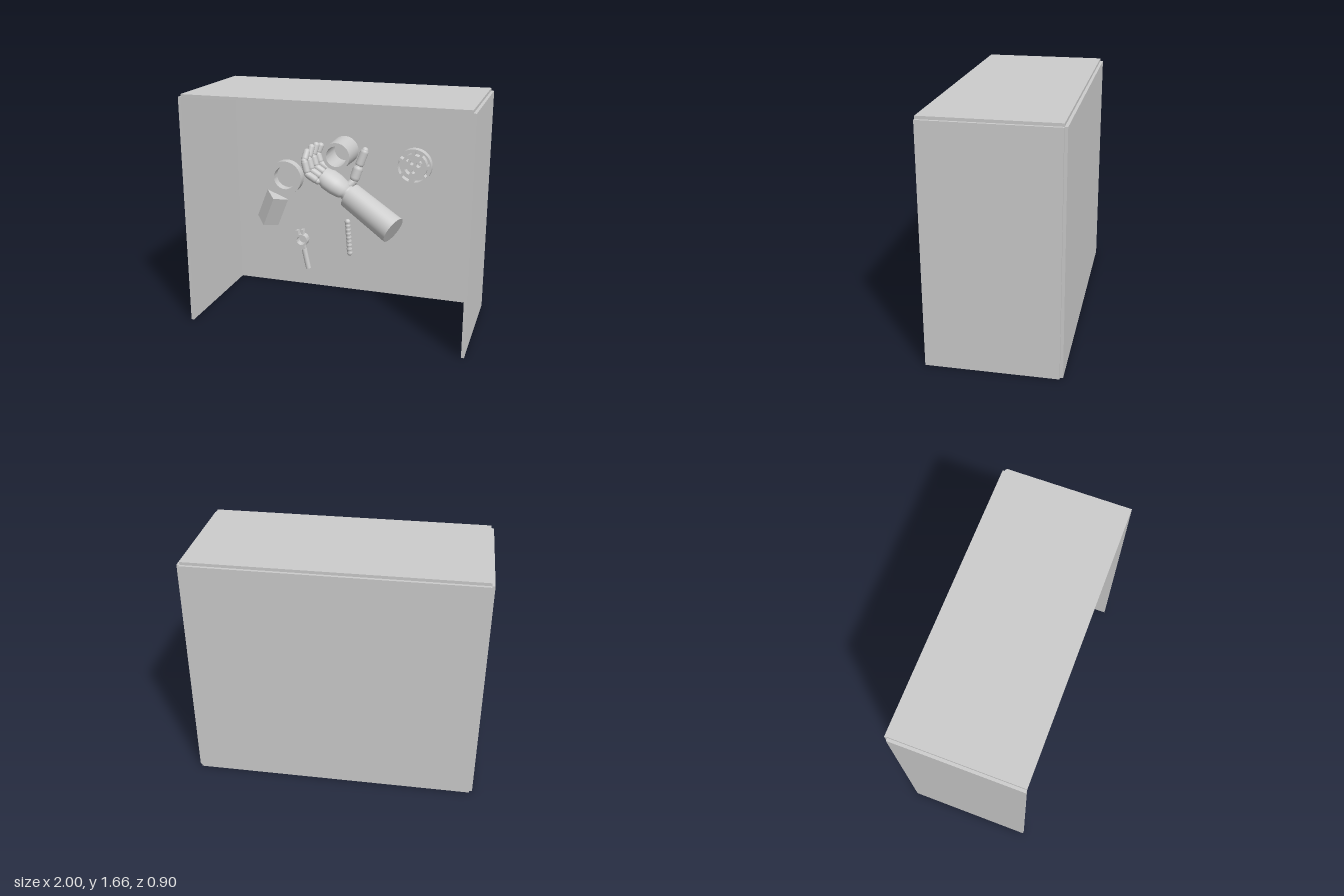
import * as THREE from 'three';
import { toCreasedNormals } from 'three/addons/utils/BufferGeometryUtils.js';

const V = (x, y, z) => new THREE.Vector3(x, y, z);
const UP = V(0, 1, 0);
const WALL = -0.43; // front surface of the back panel

export function createModel() {
  const model = new THREE.Group();
  const material = new THREE.MeshStandardMaterial({ color: 0xcccccc });

  const add = (name, geometry, parent = model) => {
    const mesh = new THREE.Mesh(geometry, material);
    mesh.name = name;
    parent.add(mesh);
    return mesh;
  };
  const group = (name) => {
    const g = new THREE.Group();
    g.name = name;
    model.add(g);
    return g;
  };
  // Box given by its two extreme corners
  const panel = (name, a, b) => {
    const s = b.clone().sub(a);
    add(name, new THREE.BoxGeometry(s.x, s.y, s.z)).position.copy(a).add(b).multiplyScalar(0.5);
  };
  // Place a y-aligned geometry between two points
  const span = (name, geometry, a, b, parent) => {
    const mesh = add(name, geometry, parent);
    mesh.position.copy(a).add(b).multiplyScalar(0.5);
    mesh.quaternion.setFromUnitVectors(UP, b.clone().sub(a).normalize());
    return mesh;
  };
  const rod = (name, a, b, ra, rb, parent) =>
    span(name, new THREE.CylinderGeometry(rb, ra, a.distanceTo(b), 40), a, b, parent);
  const capsule = (name, a, b, r, parent) =>
    span(name, new THREE.CapsuleGeometry(r, Math.max(a.distanceTo(b) - r, 0.005), 8, 20), a, b, parent);
  const ball = (name, p, r, parent) =>
    add(name, new THREE.SphereGeometry(r, 20, 14), parent).position.copy(p);
  const extrude = (shape, depth) => toCreasedNormals(
    new THREE.ExtrudeGeometry(shape, { depth, bevelEnabled: false, curveSegments: 32 }), 0.5);
  const circle = (r, x = 0, y = 0) => new THREE.Path().absarc(x, y, r, 0, Math.PI * 2, true);
  const disc = (r) => new THREE.Shape().absarc(0, 0, r, 0, Math.PI * 2, false);

  // Open cabinet
  panel('backPanel', V(-0.98, 0, -0.45), V(0.98, 1.64, WALL));
  panel('rightPanel', V(-1, 0, WALL), V(-0.98, 1.64, 0.45));
  panel('leftPanel', V(0.98, 0, WALL), V(1, 1.64, 0.45));
  panel('topPanel', V(-0.98, 1.64, WALL), V(0.98, 1.66, 0.45));

  // Wide ring on the wall
  const ring = disc(0.133);
  ring.holes.push(circle(0.09));
  add('wideRing', extrude(ring, 0.07)).position.set(-0.56, 0.894, WALL);

  // Deep tube, slightly wider at the wall
  const tubeProfile = [[0.08, 0], [0.108, 0], [0.103, 0.23], [0.077, 0.23], [0.08, 0]]
    .map(([r, y]) => new THREE.Vector2(r, y));
  const tube = add('deepTube', toCreasedNormals(new THREE.LatheGeometry(tubeProfile, 48), 0.6));
  tube.rotation.x = Math.PI / 2;
  tube.position.set(-0.093, 1.137, WALL);

  // Pierced disc: slots around the rim and a few inner openings
  const pierced = disc(0.132);
  const slot = (r0, r1, a0, a1) => {
    const path = new THREE.Path();
    path.absarc(0, 0, r1, a0, a1, false);
    path.absarc(0, 0, r0, a1, a0, true);
    path.closePath();
    pierced.holes.push(path);
  };
  [[0.098, 0.1, 0.9], [0.085, 1.1, 1.5], [0.095, 1.75, 2.6], [0.085, 2.8, 3.7],
    [0.1, 3.9, 4.4], [0.09, 4.75, 5.4], [0.1, 5.6, 6.1]]
    .forEach(([r0, a0, a1]) => slot(r0, 0.12, a0, a1));
  [[0.055, 0.3, 0.8], [0.06, 2.0, 2.5], [0.05, 3.5, 4.2]]
    .forEach(([r0, a0, a1]) => slot(r0, 0.072, a0, a1));
  pierced.holes.push(circle(0.019, 0.037, 0.014), circle(0.016, -0.012, 0.028), circle(0.014, 0.0, -0.04));
  add('piercedDisc', extrude(pierced, 0.06)).position.set(0.453, 1.06, WALL);

  // Wedge block: triangular section swept along its tilted length
  const section = new THREE.Shape();
  section.moveTo(-0.093, 0);
  section.lineTo(0.093, 0);
  section.lineTo(0.01, 0.12);
  const wedgeGeometry = extrude(section, 0.24);
  wedgeGeometry.translate(0, 0, -0.12).rotateX(Math.PI / 2).scale(1, 1, 1);
  const wedge = add('wedgeBlock', wedgeGeometry);
  wedge.position.set(-0.693, 0.623, WALL);
  wedge.rotation.z = -0.38;

  // Ring clamp with two jaws and a handle
  const clamp = group('ringClamp');
  const loop = disc(0.05);
  loop.holes.push(circle(0.036));
  add('clampRing', extrude(loop, 0.06), clamp).position.z = -0.03;
  for (const side of [-1, 1]) {
    add('clampJaw', new THREE.BoxGeometry(0.014, 0.045, 0.045), clamp).position.set(side * 0.019, 0.062, 0);
    add('clampLug', new THREE.BoxGeometry(0.014, 0.02, 0.045), clamp).position.set(side * 0.026, 0.074, 0);
  }
  add('clampNeck', new THREE.BoxGeometry(0.026, 0.04, 0.03), clamp).position.y = -0.065;
  add('clampHandle', new THREE.CylinderGeometry(0.021, 0.021, 0.165, 28), clamp).position.y = -0.16;
  clamp.position.set(-0.438, 0.386, WALL + 0.03);
  clamp.rotation.z = 0.21;

  // Rounded bar with shallow grips
  const bar = group('roundedBar');
  const barTop = V(-0.064, 0.57, WALL + 0.022), barEnd = V(-0.045, 0.315, WALL + 0.022);
  capsule('barCore', barTop, barEnd, 0.02, bar);
  for (let i = 0; i < 9; i++) ball('barGrip', barTop.clone().lerp(barEnd, i / 8), 0.0225, bar);

  // Forearm and wrist
  const hand = group('mechanicalHand');
  const elbow = V(0.372, 0.648, -0.1), cuff = V(0.012, 0.845, -0.22);
  const wrist = V(-0.02, 0.868, -0.225), knuckles = V(-0.205, 0.985, -0.225);
  rod('forearm', elbow, cuff, 0.105, 0.098, hand);
  rod('wristJoint', cuff, wrist, 0.065, 0.06, hand);

  // Palm: flattened barrel, broad toward the knuckles
  const length = wrist.distanceTo(knuckles);
  const palmProfile = [[0, 0], [0.055, 0], [0.075, 0.12], [0.088, 0.45], [0.088, 0.75], [0.07, 1], [0, 1.03]]
    .map(([r, t]) => new THREE.Vector2(r, t * length));
  const palm = add('palm', toCreasedNormals(new THREE.LatheGeometry(palmProfile, 40), 0.7), hand);
  const axis = knuckles.clone().sub(wrist).normalize();
  const across = V(0.05, 0.07, -0.12);
  across.addScaledVector(axis, -across.dot(axis)).normalize();
  palm.quaternion.setFromRotationMatrix(
    new THREE.Matrix4().makeBasis(across, axis, across.clone().cross(axis)));
  palm.scale.z = 0.75;
  palm.position.copy(wrist);

  // Four curled fingers: each path blends from the little finger to the index
  const little = [V(-0.225, 0.95, -0.165), V(-0.295, 1.005, -0.14), V(-0.322, 1.1, -0.15), V(-0.315, 1.17, -0.2)];
  const index = [V(-0.175, 1.02, -0.28), V(-0.24, 1.055, -0.29), V(-0.268, 1.13, -0.3), V(-0.245, 1.195, -0.32)];
  for (let f = 0; f < 4; f++) {
    const path = little.map((p, i) => p.clone().lerp(index[i], f / 3));
    if (f === 1 || f === 2) path[3].y += 0.02;
    path.forEach((p, i) => {
      if (i < 3) ball('fingerJoint', p, 0.024, hand);
      if (i > 0) capsule('fingerSegment', path[i - 1].clone().lerp(p, 0.12), p, 0.028 - i * 0.001, hand);
    });
  }

  // Thumb
  const thumb = [V(-0.02, 0.9, -0.25), V(0.02, 0.94, -0.28), V(0.052, 1.045, -0.3), V(0.095, 1.17, -0.32)];
  thumb.slice(1).forEach((p, i) => {
    ball('thumbJoint', p, i === 2 ? 0.026 : 0.03, hand);
    capsule('thumbSegment', thumb[i].clone().lerp(p, 0.1), p, [0.03, 0.038, 0.032][i], hand);
  });

  return model;
}
